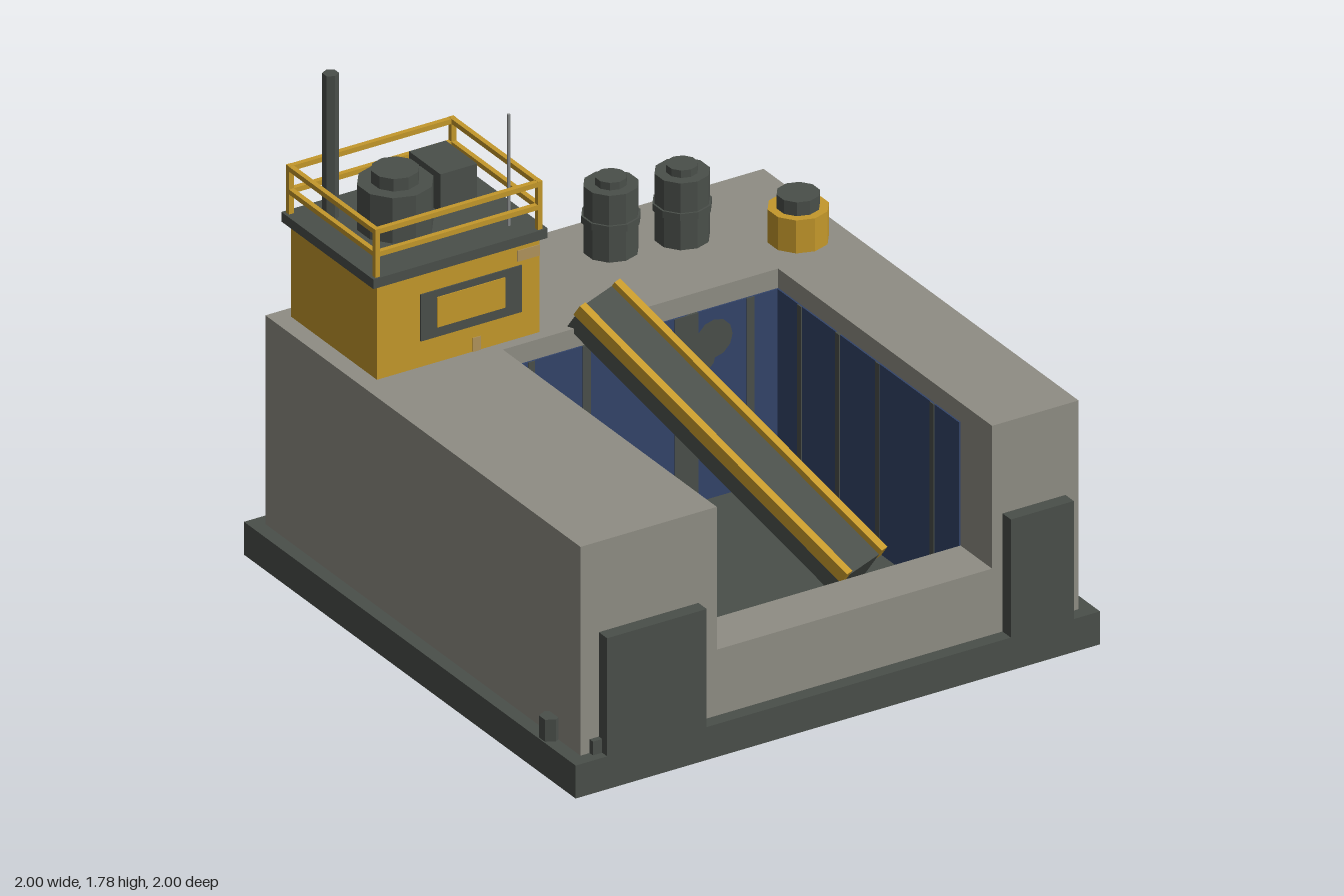
import * as THREE from 'three';

const mat = (name, color) => {
  const m = new THREE.MeshStandardMaterial({ color });
  m.name = name;
  return m;
};

export function createModel() {
  const concrete = mat('concrete', 0x8f8d84);
  const dark = mat('darkSteel', 0x4a4f4a);
  const yellow = mat('yellowPaint', 0xc4982b);
  const blue = mat('bluePanel', 0x334469);
  const worn = mat('wornPaint', 0xb0935c);
  const metal = mat('paleMetal', 0x8a8c8c);
  const model = new THREE.Group();
  model.name = 'pitStation';

  const add = (parent, name, geo, m) => {
    const mesh = new THREE.Mesh(geo, m);
    mesh.name = name;
    parent.add(mesh);
    return mesh;
  };
  // box given by its extents on each axis
  const box = (name, m, x0, x1, y0, y1, z0, z1, parent = model) => {
    const mesh = add(parent, name, new THREE.BoxGeometry(x1 - x0, y1 - y0, z1 - z0), m);
    mesh.position.set((x0 + x1) / 2, (y0 + y1) / 2, (z0 + z1) / 2);
    return mesh;
  };
  // upright faceted cylinder standing on y0
  const post = (name, m, x, z, r, y0, y1, sides = 10, parent = model) => {
    const geo = new THREE.CylinderGeometry(r, r, y1 - y0, sides).toNonIndexed();
    geo.computeVertexNormals();
    const mesh = add(parent, name, geo, m);
    mesh.position.set(x, (y0 + y1) / 2, z);
    return mesh;
  };

  // base and concrete walls around the pit
  box('base', dark, -1, 1, 0, 0.12, -1, 1);
  box('rightWall', concrete, -0.95, -0.43, 0.12, 0.88, -0.95, 0.95);
  box('leftWall', concrete, 0.62, 0.95, 0.12, 0.88, -0.95, 0.95);
  box('backWall', concrete, -0.43, 0.62, 0.12, 0.88, -0.95, -0.34);
  box('frontSill', concrete, -0.43, 0.62, 0.12, 0.36, 0.76, 0.95);

  // front plates and small debris
  box('frontPlate', dark, -0.88, -0.5, 0.12, 0.55, 0.95, 1);
  box('frontPlate', dark, 0.66, 0.9, 0.12, 0.55, 0.95, 1);
  post('debris', dark, -0.965, 0.79, 0.035, 0.12, 0.2, 6);
  box('debris', dark, -0.915, -0.88, 0.12, 0.17, 0.95, 0.97);

  // blue pit lining with dark stripes
  const P = 0.006, S = 0.009;
  box('backLining', blue, -0.43, 0.62, 0.12, 0.81, -0.34, -0.34 + P);
  box('rightLining', blue, -0.43, -0.43 + P, 0.12, 0.81, -0.34, 0.76);
  box('leftLining', blue, 0.62 - P, 0.62, 0.12, 0.81, -0.34, 0.76);
  for (const [x, w] of [[-0.325, 0.025], [-0.115, 0.03], [0.265, 0.09], [0.51, 0.03]])
    box('backStripe', dark, x - w / 2, x + w / 2, 0.12, 0.81, -0.34, -0.34 + S);
  for (const z of [-0.2, 0.03, 0.27, 0.6]) {
    box('rightStripe', dark, -0.43, -0.43 + S, 0.12, 0.81, z - 0.012, z + 0.012);
    box('leftStripe', dark, 0.62 - S, 0.62, 0.12, 0.81, z - 0.012, z + 0.012);
  }
  for (const [x, y, r] of [[0.37, 0.7, 0.07], [0.32, 0.64, 0.055], [-0.355, 0.55, 0.032]])
    add(model, 'stain', new THREE.CircleGeometry(r, 12), dark).position.set(x, y, -0.34 + S + 0.001);

  // control cabin
  const cabin = new THREE.Group();
  cabin.name = 'cabin';
  model.add(cabin);
  box('cabinWalls', yellow, -0.885, -0.265, 0.88, 1.22, -0.9, -0.38, cabin);
  box('cabinRoof', dark, -0.905, -0.24, 1.22, 1.255, -0.925, -0.37, cabin);
  box('frontWindowFrame', dark, -0.72, -0.335, 0.975, 1.145, -0.38, -0.375, cabin);
  box('frontWindowPane', yellow, -0.66, -0.4, 1.01, 1.12, -0.38, -0.372, cabin);
  box('sideWindow', dark, -0.265, -0.259, 0.99, 1.155, -0.69, -0.5, cabin);
  box('wornPatch', worn, -0.52, -0.49, 0.88, 0.93, -0.38, -0.377, cabin);
  box('wornPatch', worn, -0.35, -0.265, 1.16, 1.2, -0.38, -0.377, cabin);
  box('wornPatch', worn, -0.265, -0.262, 1.14, 1.19, -0.9, -0.8, cabin);

  // roof railing
  const [rx0, rx1, rz0, rz1, t] = [-0.885, -0.265, -0.905, -0.385, 0.009];
  for (const x of [rx0, rx1])
    for (const z of [rz0, rz1])
      box('railingPost', yellow, x - t, x + t, 1.255, 1.43, z - t, z + t, cabin);
  for (const y of [1.337, 1.42]) {
    for (const z of [rz0, rz1])
      box('railingBar', yellow, rx0 - t, rx1 + t, y - t, y + t, z - t, z + t, cabin);
    for (const x of [rx0, rx1])
      box('railingBar', yellow, x - t, x + t, y - t, y + t, rz0 - t, rz1 + t, cabin);
  }

  // roof equipment
  post('roofTank', dark, -0.645, -0.65, 0.127, 1.255, 1.42, 10, cabin);
  post('roofTankCap', dark, -0.645, -0.65, 0.08, 1.42, 1.465, 10, cabin);
  box('roofUnit', dark, -0.475, -0.335, 1.255, 1.395, -0.835, -0.645, cabin);
  post('chimney', dark, -0.79, -0.81, 0.027, 1.255, 1.78, 6, cabin);
  post('antenna', metal, -0.335, -0.455, 0.006, 1.255, 1.66, 6, cabin);

  // barrels on the back wall
  for (const [x, z] of [[0.235, -0.74], [0.475, -0.69]]) {
    post('barrel', dark, x, z, 0.092, 0.88, 1.123);
    post('barrelBand', dark, x, z, 0.099, 0.99, 1.015);
    post('barrelCap', dark, x, z, 0.053, 1.123, 1.15);
  }
  post('yellowDrum', yellow, 0.785, -0.48, 0.102, 0.88, 1.0);
  post('yellowDrumCap', dark, 0.785, -0.48, 0.072, 1.0, 1.05);

  // sloping conveyor, descending toward the front of the pit
  const conveyor = new THREE.Group();
  conveyor.name = 'conveyor';
  conveyor.position.set(0.1415, 0.635, 0.131);
  conveyor.rotation.set(0.573, 0.412, 0, 'YXZ');
  model.add(conveyor);
  const L = 0.619;
  box('belt', dark, -0.086, 0.086, -0.11, 0, -L, L, conveyor);
  for (const s of [-1, 1])
    box('conveyorRail', yellow, s * 0.1 - 0.016, s * 0.1 + 0.016, -0.025, 0.02, -L, L, conveyor);

  return model;
}
